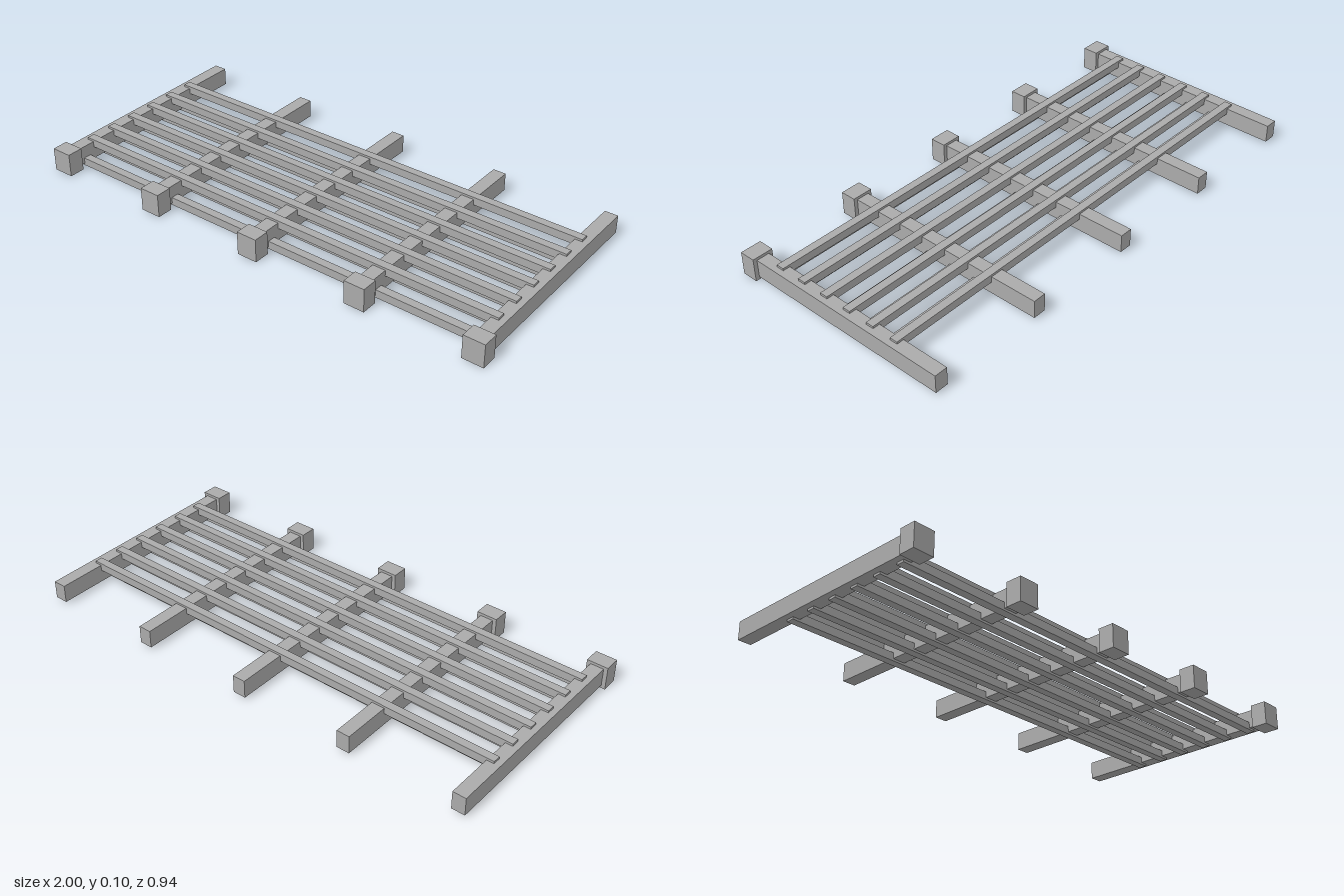
import * as THREE from 'three';

export function createModel() {
  const model = new THREE.Group();
  model.name = 'slattedFrame';
  const grey = new THREE.MeshStandardMaterial({ color: 0xaaaaaa });
  grey.name = 'plainGrey';

  // Box given by its size and centre
  const addBox = (name, size, position) => {
    const mesh = new THREE.Mesh(new THREE.BoxGeometry(...size), grey);
    mesh.name = name;
    mesh.position.set(...position);
    model.add(mesh);
  };

  const midY = 0.048;

  // Five beams running front to back, each with a thicker end block at the front
  for (let i = -2; i <= 2; i++) {
    const x = i * 0.4785;
    addBox('beam', [0.054, 0.074, 0.881], [x, midY, -0.0315]);
    addBox('endBlock', [0.086, 0.096, 0.066], [x, midY, 0.439]);
  }

  // Staggered slats let into the top and bottom of the beams
  const slat = [1.92, 0.033, 0.033];
  for (let i = 0; i < 6; i++) {
    addBox('topSlat', slat, [0, midY + 0.0295, 0.309 - i * 0.1135]);
    addBox('bottomSlat', slat, [0, midY - 0.0295, 0.365 - i * 0.1135]);
  }
  return model;
}
